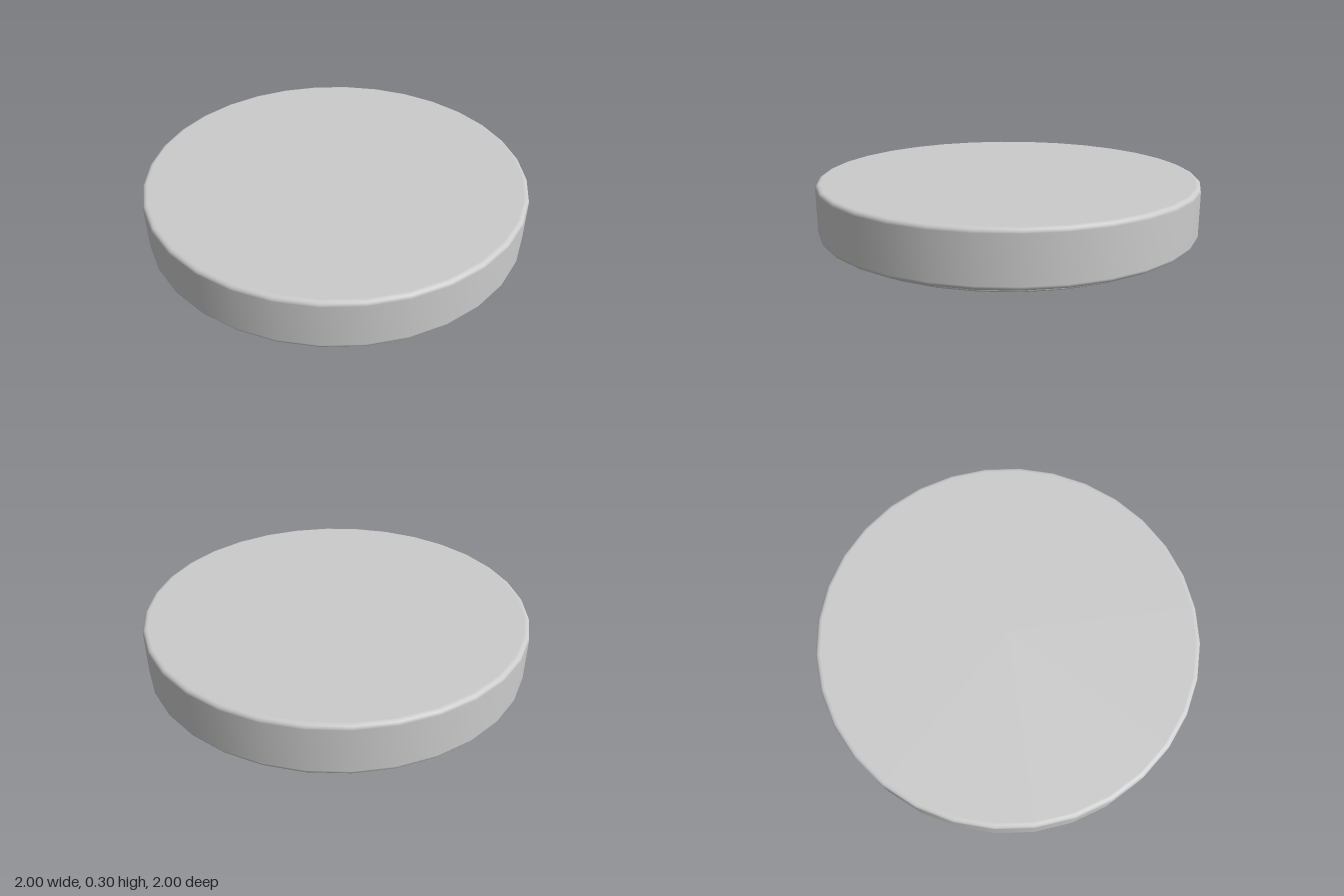
import * as THREE from 'three';

const SIDES = 32;

// Solid disc with rounded rims; extra rings beside each rim keep the flats evenly shaded.
function roundedDisc(name, radius, bottom, top, bevel, material) {
  const points = [new THREE.Vector2(0, bottom), new THREE.Vector2(radius - bevel - 0.004, bottom)];
  const steps = 4;
  const addRim = (centreY, startAngle) => {
    for (let i = 0; i <= steps; i++) {
      const a = startAngle + (i / steps) * Math.PI / 2;
      points.push(new THREE.Vector2(radius - bevel + bevel * Math.cos(a), centreY + bevel * Math.sin(a)));
    }
  };
  addRim(bottom + bevel, -Math.PI / 2);
  addRim(top - bevel, 0);
  points.push(new THREE.Vector2(radius - bevel - 0.004, top), new THREE.Vector2(0, top));
  const mesh = new THREE.Mesh(new THREE.LatheGeometry(points, SIDES), material);
  mesh.name = name;
  return mesh;
}

export function createModel() {
  const group = new THREE.Group();
  group.name = 'roundDisc';
  const grey = new THREE.MeshStandardMaterial({ color: 0xcccccc });

  // Thick main disc
  group.add(roundedDisc('body', 1, 0.034, 0.304, 0.022, grey));
  // Slightly narrower foot, its top sunk into the body
  group.add(roundedDisc('base', 0.925, 0, 0.06, 0.01, grey));

  return group;
}
